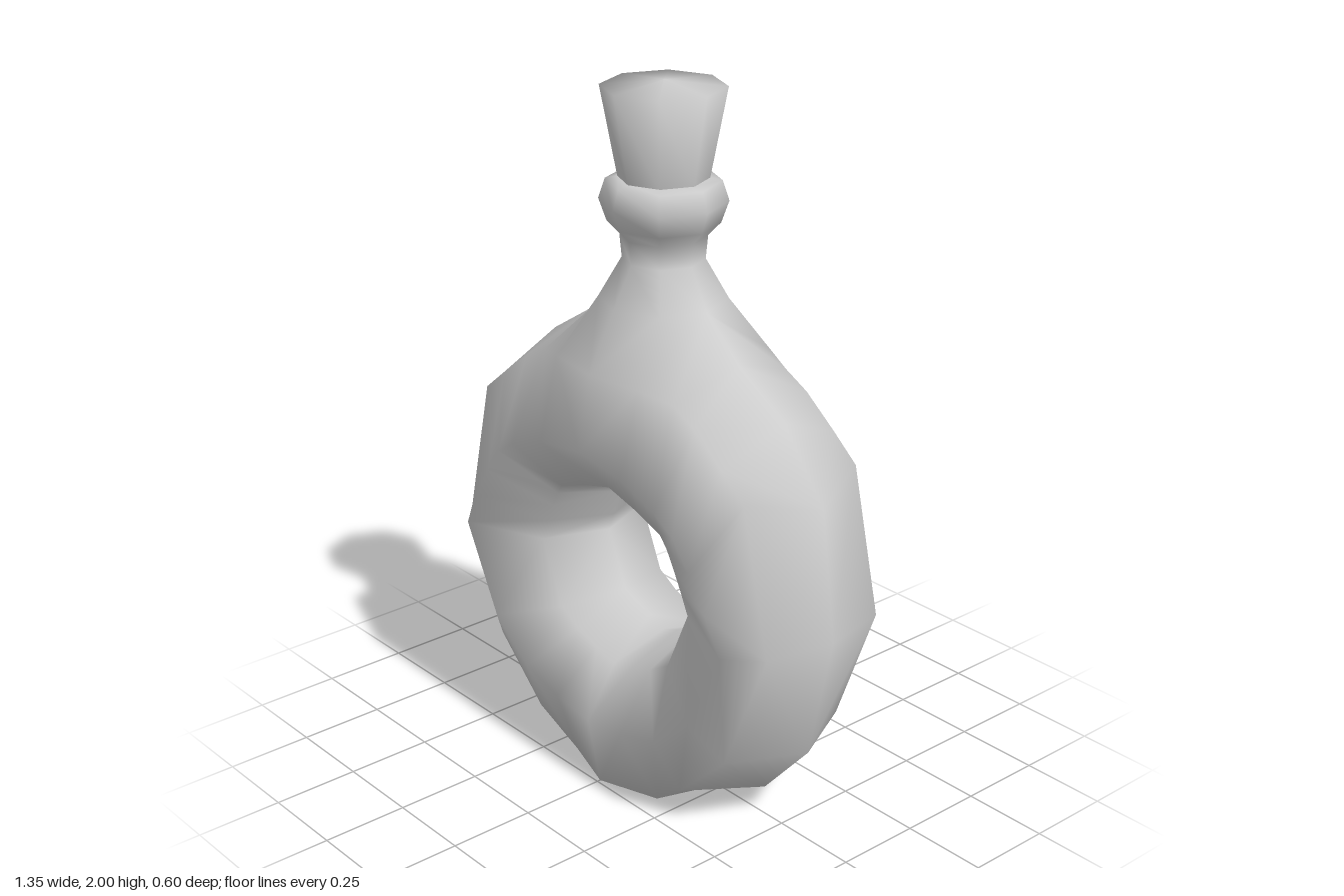
import * as THREE from 'three';
import { mergeGeometries, mergeVertices } from 'three/addons/utils/BufferGeometryUtils.js';

const N = 0.175, D = N * Math.SQRT1_2; // radius of the neck base and its diagonal
const SIDES = 8;

// Half of the ring from the top to the base: [hole xy], [ridge xyz], [shoulder xyz], [rim xyz]
const STATIONS = [
  [[0, 0.865], [0, 1.04, 0.298], [0, 1.25, 0.26], [0, 1.41, N]],
  [[0.09, 0.833], [0.17, 1.015, 0.296], [0.17, 1.25, 0.235], [D, 1.41, D]],
  [[0.18, 0.8], [0.3, 0.965, 0.294], [0.27, 1.23, 0.2], [N, 1.41, 0]],
  [[0.19, 0.773], [0.37, 0.92, 0.291], [0.35, 1.19, 0.2], [0.3, 1.3, 0]],
  [[0.203, 0.735], [0.43, 0.84, 0.288], [0.455, 1.11, 0.2], [0.475, 1.19, 0]],
  [[0.22, 0.69], [0.49, 0.74, 0.285], [0.54, 1.04, 0.2], [0.625, 1, 0]],
  [[0.24, 0.635], [0.545, 0.635, 0.282], [0.635, 0.635, 0.2], [0.675, 0.635, 0]],
  [[0.17, 0.47], [0.42, 0.38, 0.28], [0.49, 0.27, 0.21], [0.595, 0.27, 0]],
  [[0.12, 0.45], [0.28, 0.27, 0.28], [0.31, 0.1, 0.21], [0.43, 0.085, 0]],
  [[0.06, 0.427], [0.14, 0.23, 0.28], [0.18, 0, 0.18], [0.24, 0, 0]],
  [[0, 0.405], [0, 0.21, 0.28], [0, 0, 0.24], [0, 0, 0]],
];

// One quarter of the ring, mirrored by the signs sx and sz
function ringQuarter(sx, sz) {
  const pos = [], index = [], rows = 5;
  for (const [hole, ridge, shoulder, rim] of STATIONS) {
    const inner = [
      THREE.MathUtils.lerp(hole[0], ridge[0], 0.24),
      THREE.MathUtils.lerp(hole[1], ridge[1], 0.24),
      ridge[2] * 0.66,
    ];
    for (const [x, y, z = 0] of [hole, inner, ridge, shoulder, rim]) pos.push(x * sx, y, z * sz);
  }
  for (let s = 0; s < STATIONS.length - 1; s++) {
    for (let r = 0; r < rows - 1; r++) {
      const a = s * rows + r, b = a + 1, d = a + rows, c = d + 1;
      if (sx * sz > 0) index.push(a, d, c, a, c, b);
      else index.push(a, c, d, a, b, c);
    }
  }
  const g = new THREE.BufferGeometry();
  g.setAttribute('position', new THREE.Float32BufferAttribute(pos, 3));
  g.setIndex(index);
  return g;
}

function lathe(profile) {
  return new THREE.LatheGeometry(profile.map(([r, y]) => new THREE.Vector2(r, y)), SIDES);
}

export function createModel() {
  const group = new THREE.Group();
  const material = new THREE.MeshStandardMaterial({ color: 0xcccccc });
  const add = (name, geometry) => {
    const mesh = new THREE.Mesh(geometry, material);
    mesh.name = name;
    group.add(mesh);
  };

  // Ring-shaped flask flowing into the neck and its rounded lip
  const neck = lathe([
    [N, 1.41], [0.112, 1.52], [0.118, 1.585], [0.152, 1.62],
    [0.173, 1.68], [0.155, 1.735], [0.12, 1.742], [0, 1.742],
  ]);
  neck.deleteAttribute('normal');
  neck.deleteAttribute('uv');
  const parts = [neck];
  for (const sx of [1, -1]) for (const sz of [1, -1]) parts.push(ringQuarter(sx, sz));
  const flask = mergeVertices(mergeGeometries(parts), 1e-4);
  flask.computeVertexNormals();
  add('flask', flask);

  // Tapered stopper with a slightly domed top
  add('stopper', lathe([[0.12, 1.73], [0.168, 1.985], [0, 2]]));

  return group;
}
